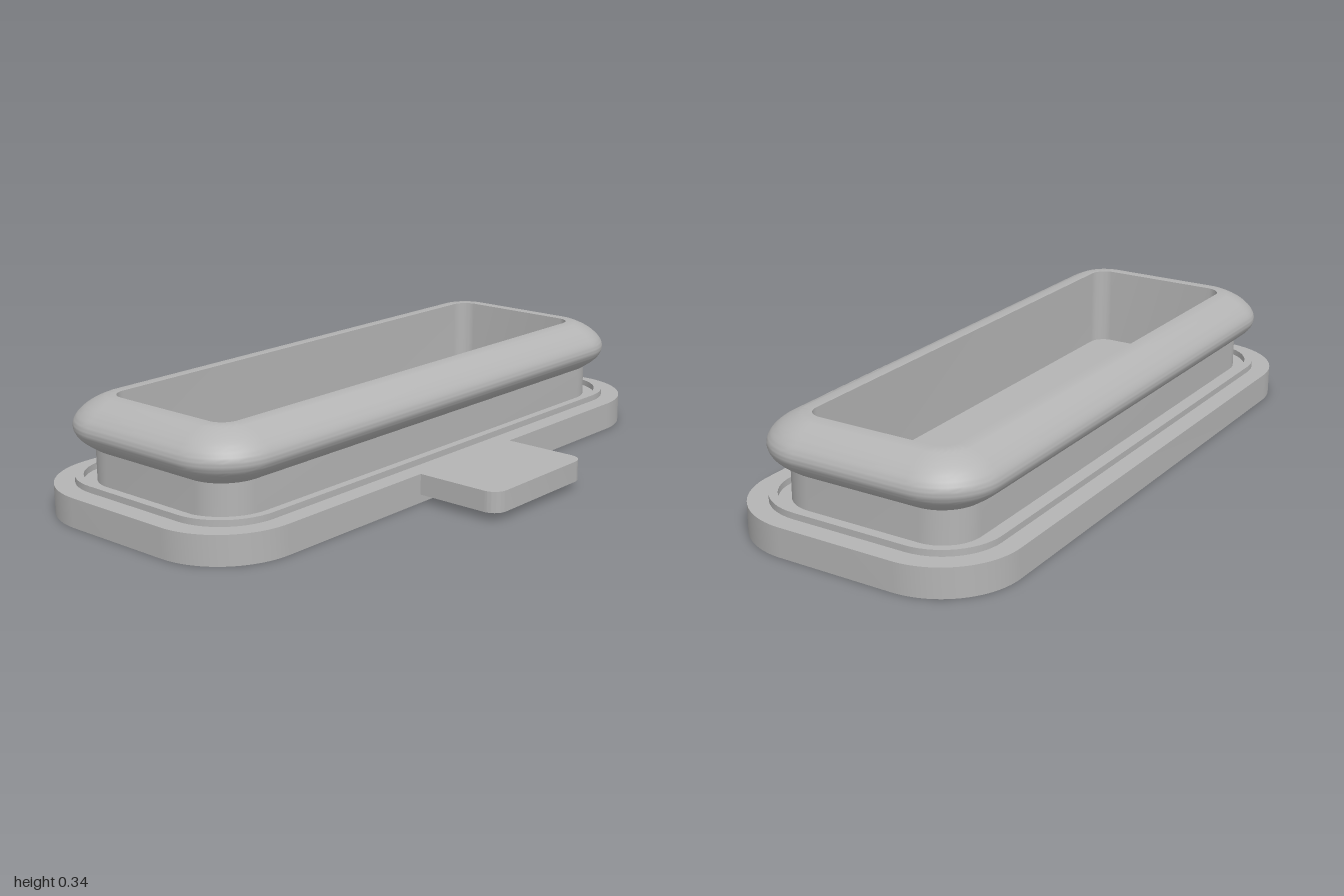
import * as THREE from 'three';
import { toCreasedNormals } from 'three/addons/utils/BufferGeometryUtils.js';

// Every ring of the plug is an offset of one core rectangle
const CORE_X = 0.18, CORE_Z = 0.76, CENTRE_X = -0.1375;
const BASE_TOP = 0.088;

// Sweep a profile of [half width, height] around the core rectangle
function sweep(profile, cornerSteps = 14) {
  const dirs = [];
  const signs = [[1, 1], [-1, 1], [-1, -1], [1, -1]];
  signs.forEach(([sx, sz], q) => {
    for (let k = 0; k <= cornerSteps; k++) {
      const a = (q + k / cornerSteps) * Math.PI / 2;
      dirs.push([sx * CORE_X, sz * CORE_Z, Math.cos(a), Math.sin(a)]);
    }
  });
  const n = dirs.length, position = [], index = [];
  for (const [half, y] of profile) {
    const r = half - CORE_X;
    for (const [cx, cz, dx, dz] of dirs) position.push(cx + r * dx, y, cz + r * dz);
  }
  for (let i = 0; i < profile.length - 1; i++) {
    for (let j = 0; j < n; j++) {
      const a = i * n + j, b = i * n + (j + 1) % n;
      index.push(a, a + n, b, b, a + n, b + n);
    }
  }
  const g = new THREE.BufferGeometry();
  g.setAttribute('position', new THREE.Float32BufferAttribute(position, 3));
  g.setIndex(index);
  return toCreasedNormals(g, Math.PI / 7);
}

// Upright slab with separately rounded left (+x) and right (-x) corners
function slab(x0, x1, halfZ, rLow, rHigh, y0, y1) {
  const s = new THREE.Shape();
  s.moveTo(x0 + rLow, -halfZ);
  s.lineTo(x1 - rHigh, -halfZ);
  s.absarc(x1 - rHigh, -halfZ + rHigh, rHigh, -Math.PI / 2, 0);
  s.absarc(x1 - rHigh, halfZ - rHigh, rHigh, 0, Math.PI / 2);
  s.lineTo(x0 + rLow, halfZ);
  if (rLow > 0) {
    s.absarc(x0 + rLow, halfZ - rLow, rLow, Math.PI / 2, Math.PI);
    s.absarc(x0 + rLow, -halfZ + rLow, rLow, Math.PI, Math.PI * 1.5);
  } else s.lineTo(x0, -halfZ);
  const g = new THREE.ExtrudeGeometry(s, { depth: y1 - y0, bevelEnabled: false, curveSegments: 14 });
  g.rotateX(-Math.PI / 2).translate(0, y0, 0);
  return toCreasedNormals(g, Math.PI / 7);
}

export function createModel() {
  const group = new THREE.Group();
  const grey = new THREE.MeshStandardMaterial({ color: 0xb4b4b4 });
  grey.name = 'grey rubber';
  const add = (name, geometry, x = 0) => {
    const mesh = new THREE.Mesh(geometry, grey);
    mesh.name = name;
    mesh.position.x = x;
    group.add(mesh);
  };

  // Flange plate; its top is also the floor of the cavity
  add('basePlate', slab(-0.555, 0.28, 1, 0.2375, 0.2375, 0, BASE_TOP));

  // Pull tab on the left side
  add('pullTab', slab(0.28, 0.555, 0.215, 0, 0.045, 0.025, BASE_TOP));

  // Thin sealing ridge standing on the plate
  add('sealRidge', sweep([
    [0.36, BASE_TOP], [0.36, 0.107], [0.335, 0.107], [0.335, BASE_TOP],
  ]), CENTRE_X);

  // Neck, bulging lip and inner cavity wall
  const bulge = new THREE.SplineCurve([
    [0.297, 0.187], [0.334, 0.213], [0.352, 0.234], [0.358, 0.256],
    [0.350, 0.279], [0.327, 0.303], [0.297, 0.322], [0.265, 0.336],
  ].map(([x, y]) => new THREE.Vector2(x, y))).getPoints(28).map(p => [p.x, p.y]);
  add('neckAndLip', sweep([
    [0.297, BASE_TOP], ...bulge, [0.2325, 0.336], [0.2325, BASE_TOP],
  ]), CENTRE_X);

  return group;
}
